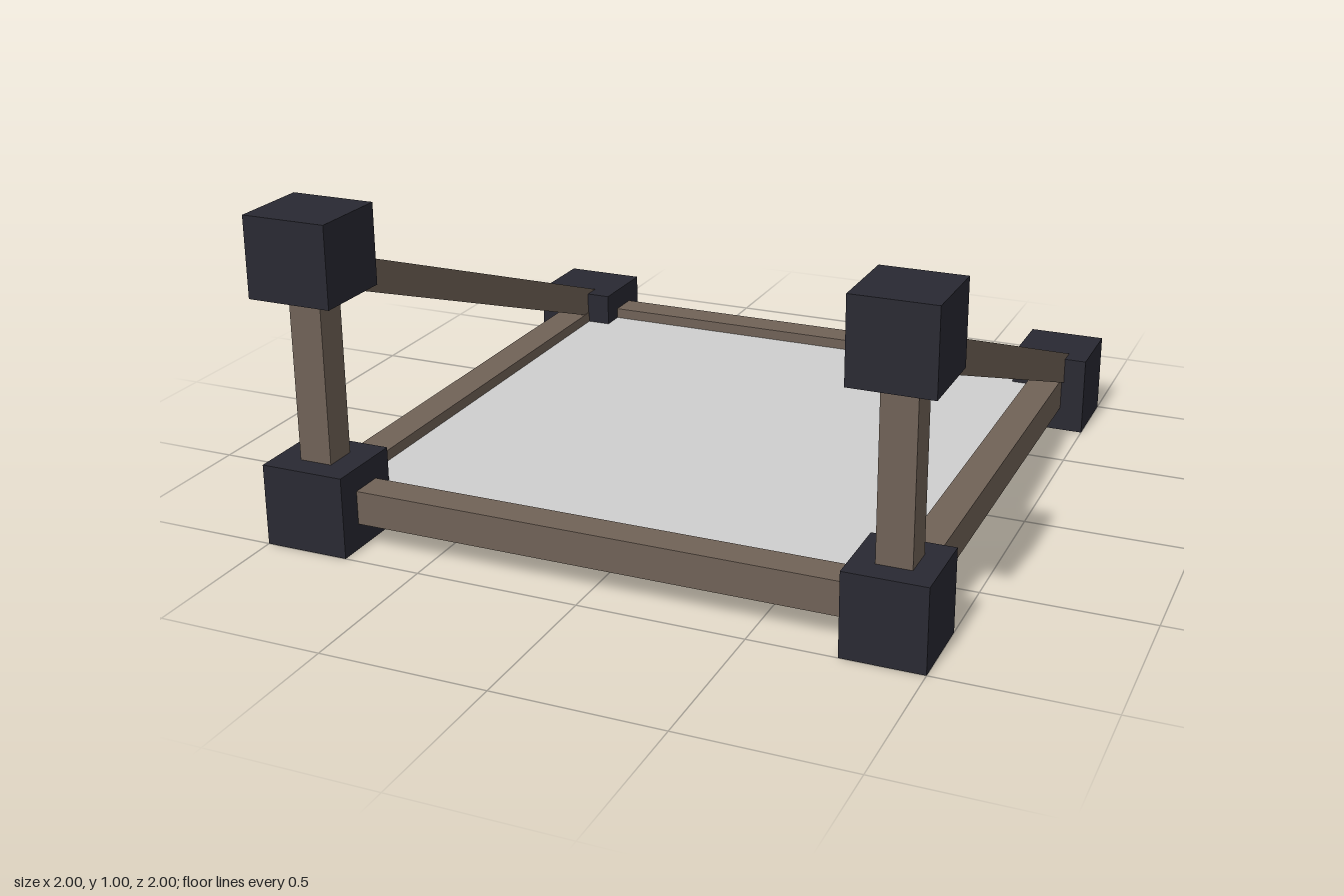
import * as THREE from 'three';

export function createModel() {
  const model = new THREE.Group();
  const wood = new THREE.MeshStandardMaterial({ color: 0x706257 });
  wood.name = 'brown wood';
  const dark = new THREE.MeshStandardMaterial({ color: 0x292932 });
  dark.name = 'dark block';
  const grey = new THREE.MeshStandardMaterial({ color: 0xcfcfcf });
  grey.name = 'grey panel';

  // Box given by its lower and upper corners
  function box(name, material, [x0, y0, z0], [x1, y1, z1]) {
    const mesh = new THREE.Mesh(new THREE.BoxGeometry(x1 - x0, y1 - y0, z1 - z0), material);
    mesh.position.set((x0 + x1) / 2, (y0 + y1) / 2, (z0 + z1) / 2);
    mesh.name = name;
    model.add(mesh);
    return mesh;
  }

  // Front and back rails
  box('frontRail', wood, [-0.8, 0.077, 0.82], [0.8, 0.18, 0.923]);
  box('backRail', wood, [-0.8, 0.077, -0.927], [0.8, 0.18, -0.827]);

  // Both sides: blocks, rail, post and sloping brace
  const sides = [
    { name: 'left', block: [0.76, 1], rail: [0.825, 0.925], post: [0.83, 0.932] },
    { name: 'right', block: [-1, -0.738], rail: [-0.917, -0.815], post: [-0.92, -0.818] },
  ];
  for (const { name, block, rail, post } of sides) {
    box(name + 'FrontBlock', dark, [block[0], 0, 0.75], [block[1], 0.25, 1]);
    box(name + 'BackBlock', dark, [block[0], 0, -1], [block[1], 0.25, -0.75]);
    box(name + 'TopBlock', dark, [block[0], 0.755, 0.75], [block[1], 1, 1]);
    box(name + 'Rail', wood, [rail[0], 0.077, -0.8], [rail[1], 0.18, 0.8]);
    box(name + 'Post', wood, [post[0], 0.2, 0.823], [post[1], 0.8, 0.925]);
    const brace = box(name + 'Brace', wood, [post[0], 0.451, -0.88], [post[1], 0.549, 0.88]);
    brace.rotation.x = -Math.atan(0.374);
  }

  // Floor panel with a dark underside
  box('floorPanel', grey, [-0.82, 0.112, -0.84], [0.83, 0.146, 0.83]);
  box('floorUnderside', dark, [-0.82, 0.105, -0.84], [0.83, 0.112, 0.83]);

  // Slats under the floor
  for (const [z0, z1] of [[-0.84, -0.59], [-0.19, -0.075], [0.27, 0.385]]) {
    box('floorSlat', wood, [-0.82, 0.098, z0], [0.83, 0.105, z1]);
  }
  return model;
}
